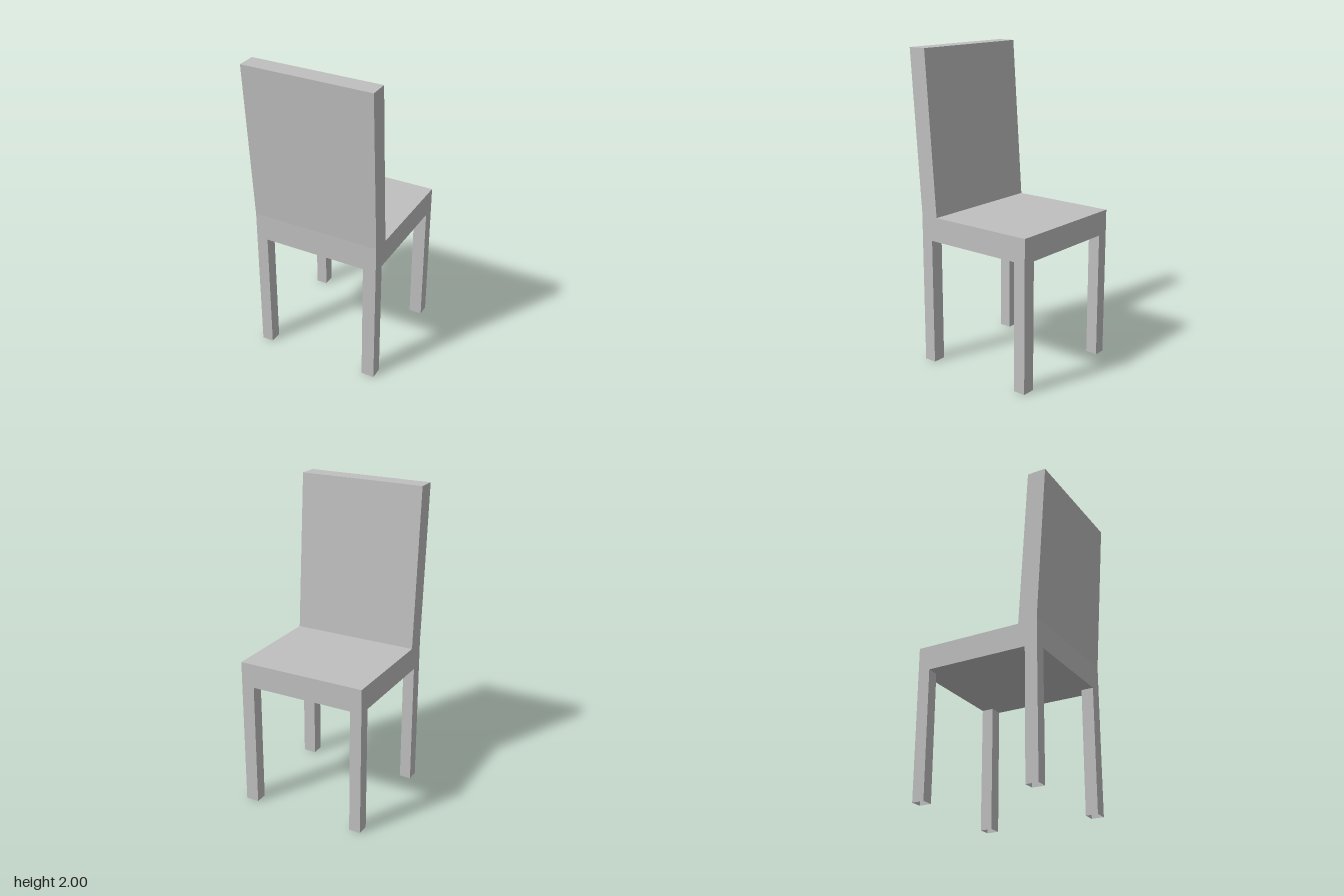
import * as THREE from 'three';

const X0 = -0.417, X1 = 0.415;   // overall width
const LEG_TOP = 0.815, SEAT_TOP = 0.97;

// Square tube: a box without its top and bottom faces
function openBox(w, h, d) {
  const g = new THREE.BoxGeometry(w, h, d);
  const index = Array.from(g.index.array);
  g.setIndex([...index.slice(0, 12), ...index.slice(24)]);
  g.clearGroups();
  return g;
}

export function createModel() {
  const model = new THREE.Group();
  model.name = 'chair';
  const grey = new THREE.MeshStandardMaterial({ color: 0xc0c0c0, side: THREE.DoubleSide });
  grey.name = 'light grey';

  // Seat slab and leaning backrest: one side profile (z, y) run across the width
  const profile = new THREE.Shape([
    [-0.443, LEG_TOP], [0.375, LEG_TOP], [0.375, 0.985], [0.445, 2],
    [0.324, 2], [0.252, SEAT_TOP], [-0.443, SEAT_TOP],
  ].map(([z, y]) => new THREE.Vector2(z, y)));
  const body = new THREE.ExtrudeGeometry(profile, { depth: X1 - X0, bevelEnabled: false });
  body.rotateY(-Math.PI / 2).translate(X1, 0, 0);
  const seat = new THREE.Mesh(body, grey);
  seat.name = 'seatAndBackrest';
  model.add(seat);

  // Four hollow legs, open at the foot, flush with the seat corners
  const sides = [['right', X0, -0.342], ['left', 0.33, X1]];
  const rows = [['Seat', -0.443, -0.365], ['Backrest', 0.295, 0.375]];
  for (const [side, xa, xb] of sides) {
    for (const [row, za, zb] of rows) {
      const leg = new THREE.Mesh(openBox(xb - xa, LEG_TOP, zb - za), grey);
      leg.position.set((xa + xb) / 2, LEG_TOP / 2, (za + zb) / 2);
      leg.name = `${side}${row}Leg`;
      model.add(leg);
    }
  }
  return model;
}
